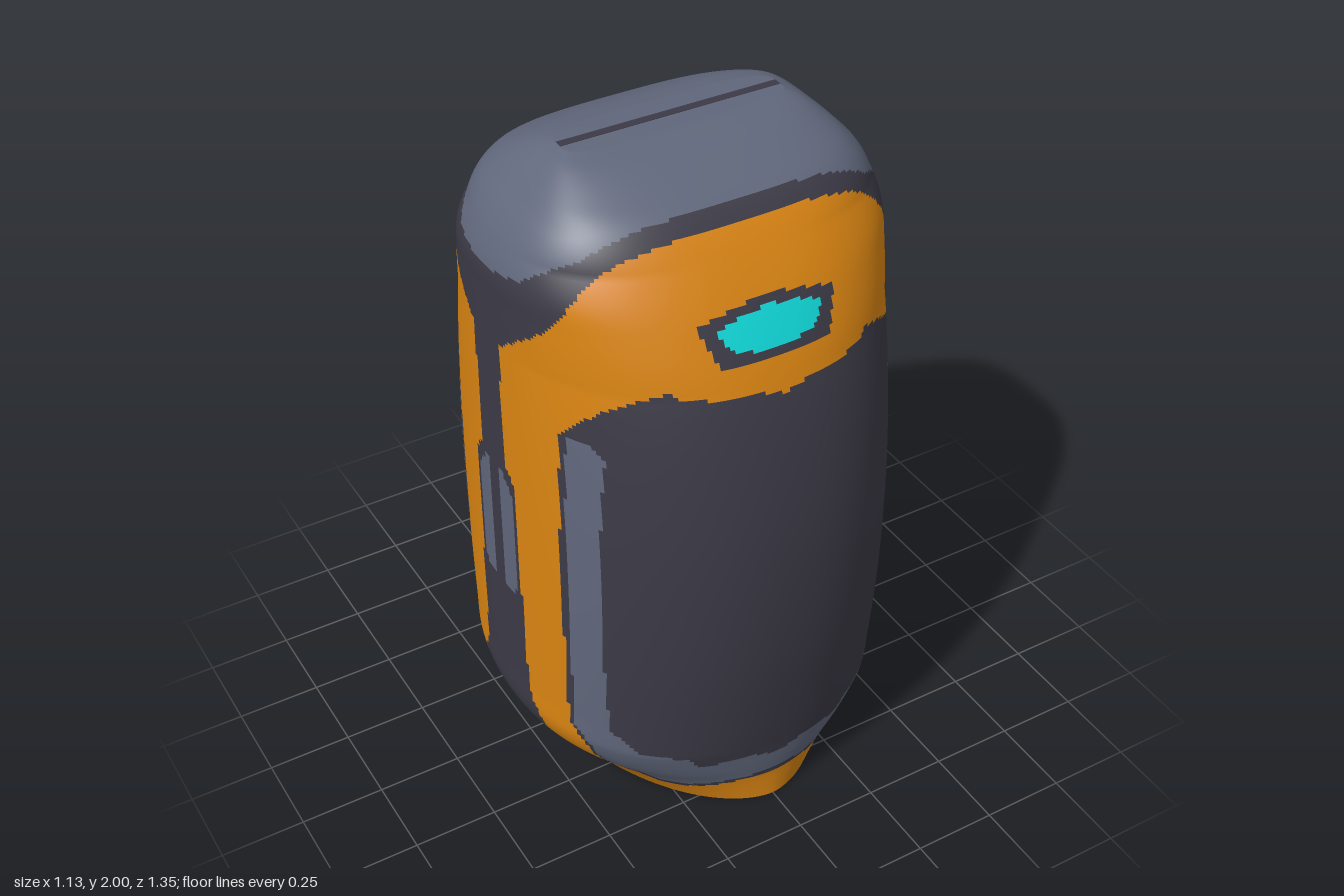
import * as THREE from 'three';

const COLS = 300, ROWS = 205, CAP_ROWS = 8;

const makeMaterial = (name, color) => {
  const m = new THREE.MeshStandardMaterial({ color, side: THREE.DoubleSide });
  m.name = name;
  return m;
};

// Piecewise-linear lookup through [input, output] pairs, clamped at both ends
function lerp(table, v) {
  if (v <= table[0][0]) return table[0][1];
  for (let i = 1; i < table.length; i++) {
    const [x0, y0] = table[i - 1], [x1, y1] = table[i];
    if (v <= x1) return y0 + (y1 - y0) * (v - x0) / (x1 - x0);
  }
  return table[table.length - 1][1];
}
const inside = (table, x, y) =>
  y > table[0][0] && y < table[table.length - 1][0] && x < lerp(table, y);

// Body outline: half width, height, half depth
const OUTLINE = [
  [0.41, 0, 0.6], [0.44, 0.04, 0.6], [0.49, 0.1, 0.602], [0.535, 0.155, 0.61],
  [0.562, 0.22, 0.618], [0.565, 0.35, 0.638], [0.565, 0.6, 0.668], [0.565, 0.85, 0.677],
  [0.565, 1.05, 0.668], [0.565, 1.24, 0.641], [0.565, 1.4, 0.604], [0.565, 1.53, 0.56],
  [0.565, 1.64, 0.508], [0.563, 1.72, 0.463], [0.535, 1.8, 0.41], [0.497, 1.86, 0.362],
  [0.46, 1.9, 0.32], [0.42, 1.94, 0.25], [0.37, 1.98, 0.16], [0.33, 2, 0.08],
];
// Squareness of the cross-section by height
const SQUARE = [[0, 1.75], [0.25, 2.2], [1.5, 2.2], [1.8, 2.6], [1.92, 3.4], [2, 3.6]];

// Paint borders: half depth by height, or height by half width
const SEAM = [[0, 0.15], [0.04, 0.15], [0.1, 0.13], [0.2, 0.18], [0.25, 0.17], [0.29, 0.14],
  [0.44, 0.125], [0.65, 0.12], [1.04, 0.117], [1.11, 0.07], [1.5, 0.07], [1.58, 0.18],
  [1.64, 0.26], [1.71, 0.3], [1.8, 0.32], [1.885, 0.37], [1.89, 1]];
const CAP = [[1.73, 0.07], [1.745, 0.16], [1.79, 0.22], [1.84, 0.285], [1.91, 0.32], [1.92, 1], [3, 1]];
const VENT_OUT = [[0.65, 0.08], [0.68, 0.097], [1.01, 0.097], [1.07, 0.05]];
const PANEL_SIDE = [[0.11, 0.365], [0.175, 0.344], [0.238, 0.344], [0.3, 0.298], [1.34, 0.298], [1.49, 0.434]];
const PANEL_TOP = [[0, 1.47], [0.1, 1.49], [0.26, 1.495], [0.3, 1.52], [0.38, 1.49], [0.43, 1.46], [0.5, 1.42]];
const PANEL_BOTTOM = [[0, 0.1], [0.12, 0.095], [0.25, 0.065], [0.3, 0.065], [0.36, 0.11], [0.5, 0.12]];
const BAND_TOP = [[0, 0.19], [0.12, 0.22], [0.23, 0.2], [0.28, 0.25], [0.386, 0.26], [0.455, 0.34]];
const STRIP_INNER = [[0.25, 0.42], [1.31, 0.42], [1.34, 0.39]];
const LAMP_FRAME = [[1.565, 0.165], [1.67, 0.205], [1.69, 0.13], [1.705, 0.03]];
const LAMP_LENS = [[1.585, 0.05], [1.6, 0.125], [1.65, 0.16], [1.667, 0.12], [1.682, 0.02]];

// Which part a point of the skin belongs to (same on all four quarters)
function partAt(x, y, z) {
  x = Math.abs(x);
  z = Math.abs(z);
  if (inside(CAP, z, y)) return 'topCap';
  if (z > 0.022 && inside(VENT_OUT, z, y)) return 'sideVents';
  if (z < lerp(SEAM, y)) return 'sideSeams';
  if (z > 0.3 && inside(LAMP_LENS, x, y)) return 'lampLenses';
  if (z > 0.3 && inside(LAMP_FRAME, x, y)) return 'lampFrames';
  const side = lerp(PANEL_SIDE, y), bottom = lerp(PANEL_BOTTOM, x);
  if (z > side && y > bottom && y < lerp(PANEL_TOP, x)) {
    if (z > side + 0.02 && inside(STRIP_INNER, z, y)) return 'panelStrips';
    if (z > side + 0.015 && y > bottom + 0.015 && y < lerp(BAND_TOP, x)) return 'panelStrips';
    return 'panels';
  }
  return 'shell';
}

// Stacked superellipse loops, closed by shrinking loops on top and open below
function buildSkin() {
  const curve = new THREE.CatmullRomCurve3(OUTLINE.map(p => new THREE.Vector3(...p)));
  const loops = curve.getSpacedPoints(ROWS);
  const rim = loops[ROWS];
  for (let k = 1; k <= CAP_ROWS; k++) {
    const s = 1 - k / CAP_ROWS;
    loops.push(new THREE.Vector3(rim.x * s, rim.y, rim.z * s));
  }
  const pos = [], index = [], parts = {};
  for (const { x: a, y, z: b } of loops) {
    const n = lerp(SQUARE, y);
    for (let i = 0; i < COLS; i++) {
      const t = i / COLS * Math.PI * 2, s = Math.sin(t), c = Math.cos(t);
      const r = Math.pow(Math.abs(s) ** n + Math.abs(c) ** n, -1 / n);
      pos.push(a * r * s, y, b * r * c);
    }
  }
  for (let j = 0; j < loops.length - 1; j++) {
    for (let i = 0; i < COLS; i++) {
      const i2 = (i + 1) % COLS;
      const q = [j * COLS + i, j * COLS + i2, (j + 1) * COLS + i2, (j + 1) * COLS + i];
      const mid = k => q.reduce((sum, v) => sum + pos[v * 3 + k], 0) / 4;
      const list = parts[partAt(mid(0), mid(1), mid(2))] ??= [];
      const tris = [q[0], q[1], q[2], q[0], q[2], q[3]];
      list.push(...tris);
      index.push(...tris);
    }
  }
  const whole = new THREE.BufferGeometry();
  whole.setAttribute('position', new THREE.Float32BufferAttribute(pos, 3));
  whole.setIndex(index);
  whole.computeVertexNormals();
  return { whole, parts };
}

export function createModel() {
  const orange = makeMaterial('orange', 0xd98412);
  const charcoal = makeMaterial('charcoal', 0x3c3a46);
  const slate = makeMaterial('slate', 0x60677b);
  const cyan = makeMaterial('cyan', 0x10d8d8);
  const paint = {
    shell: orange, panels: charcoal, sideSeams: charcoal, lampFrames: charcoal,
    topCap: slate, sideVents: slate, panelStrips: slate, lampLenses: cyan,
  };

  const model = new THREE.Group();
  model.name = 'capsule';

  // Coloured parts share the skin's smooth normals
  const { whole, parts } = buildSkin();
  for (const [name, list] of Object.entries(parts)) {
    const geo = new THREE.BufferGeometry();
    geo.setAttribute('position', whole.attributes.position);
    geo.setAttribute('normal', whole.attributes.normal);
    geo.setIndex(list);
    const mesh = new THREE.Mesh(geo, paint[name]);
    mesh.name = name;
    model.add(mesh);
  }

  // Thin joint line across the top
  const joint = new THREE.Mesh(new THREE.BoxGeometry(0.66, 0.004, 0.026), charcoal);
  joint.name = 'topJoint';
  joint.position.y = 1.999;
  model.add(joint);

  return model;
}
